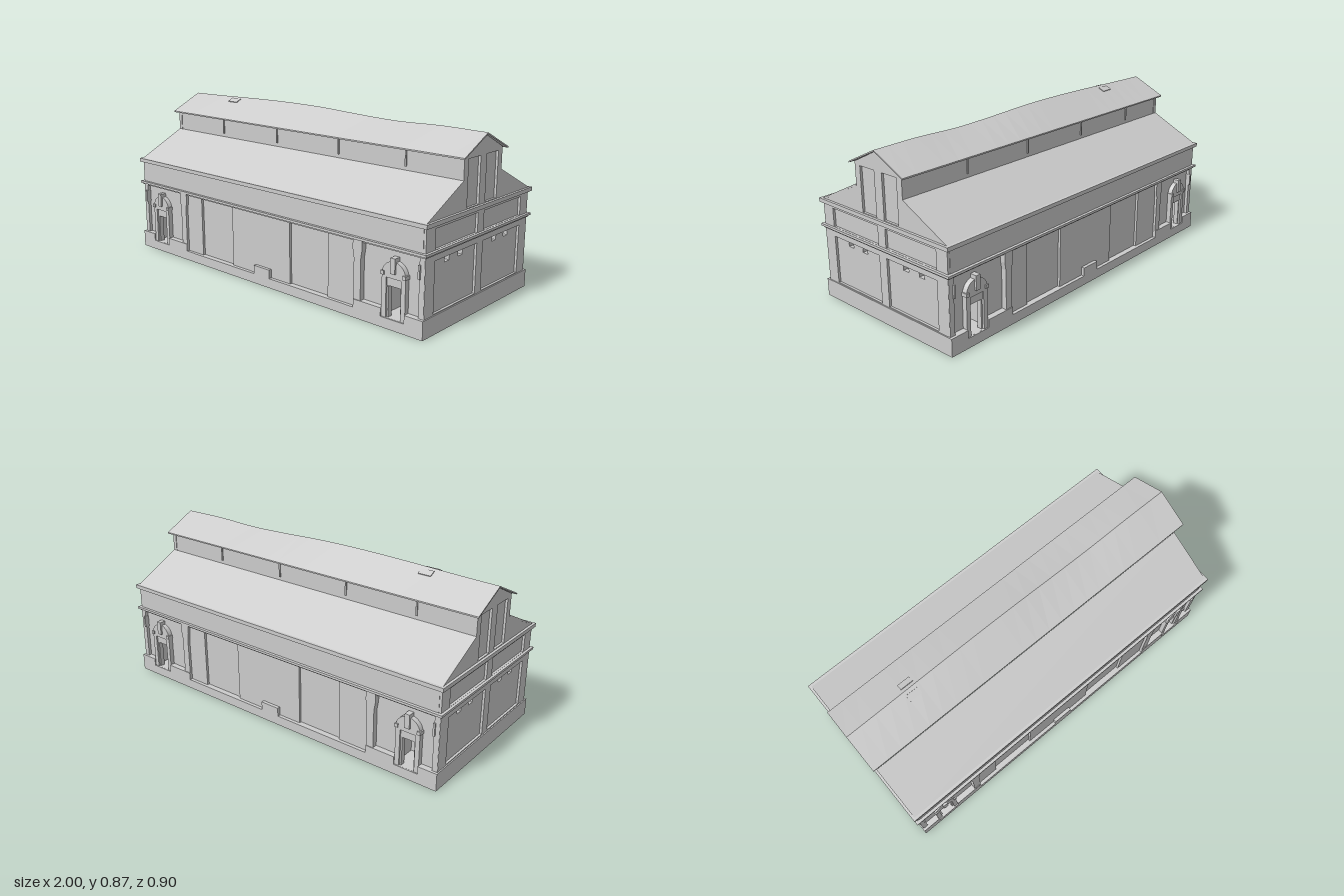
import * as THREE from 'three';

const mat = new THREE.MeshStandardMaterial({ color: 0xcccccc, flatShading: true, side: THREE.DoubleSide });

function add(parent, name, geometry) {
  const m = new THREE.Mesh(geometry, mat);
  m.name = name;
  parent.add(m);
  return m;
}

// Box given by its min and max on every axis
function block(parent, name, x0, x1, y0, y1, z0, z1) {
  const m = add(parent, name, new THREE.BoxGeometry(x1 - x0, y1 - y0, z1 - z0));
  m.position.set((x0 + x1) / 2, (y0 + y1) / 2, (z0 + z1) / 2);
  return m;
}

const poly = (pts) => new THREE.Shape(pts.map(([x, y]) => new THREE.Vector2(x, y)));
const rect = (x0, x1, y0, y1) => poly([[x0, y0], [x1, y0], [x1, y1], [x0, y1]]);

// Upright sheet with rectangular openings, between two depths
function sheet(parent, name, shape, holes, z0, z1) {
  holes.forEach((h) => shape.holes.push(h));
  const m = add(parent, name, new THREE.ExtrudeGeometry(shape, { depth: z1 - z0, bevelEnabled: false, curveSegments: 10 }));
  m.position.z = z0;
  return m;
}

// Rectangular course running round the whole building
function course(parent, name, hx, hz, y0, y1, inX, inZ) {
  const s = rect(-hx, hx, -hz, hz);
  s.holes.push(rect(-inX, inX, -inZ, inZ));
  const g = new THREE.ExtrudeGeometry(s, { depth: y1 - y0, bevelEnabled: false });
  g.rotateX(-Math.PI / 2);
  add(parent, name, g).position.y = y0;
}

// Arched doorway with vestibule behind it
function doorway(parent, cx) {
  const g = new THREE.Group();
  g.name = 'doorway';
  g.position.x = cx;
  parent.add(g);
  const arch = poly([[-0.065, 0.05], [0.065, 0.05], [0.065, 0.255]]);
  arch.absarc(0, 0.255, 0.065, 0, Math.PI, false);
  arch.lineTo(-0.065, 0.05);
  sheet(g, 'archSurround', arch, [rect(-0.041, 0.041, 0.0505, 0.24)], 0.412, 0.44);
  block(g, 'keystone', -0.013, 0.013, 0.265, 0.338, 0.415, 0.45);
  for (const s of [-1, 1]) {
    block(g, 'impost', s * 0.06 - 0.009, s * 0.06 + 0.009, 0.25, 0.268, 0.415, 0.446);
    block(g, 'doorJamb', s * 0.037 - 0.004, s * 0.037 + 0.004, 0.05, 0.2, 0.405, 0.43);
    block(g, 'vestibuleSide', s * 0.07 - 0.003, s * 0.07 + 0.003, 0.05, 0.24, 0.29, 0.41);
  }
  block(g, 'transom', -0.041, 0.041, 0.2, 0.24, 0.405, 0.432);
  block(g, 'vestibuleFloor', -0.073, 0.073, 0.043, 0.05, 0.29, 0.41);
  block(g, 'vestibuleBack', -0.073, 0.073, 0.05, 0.24, 0.287, 0.293);
}

// One long side, built facing +z
function longSide() {
  const g = new THREE.Group();
  g.name = 'longSide';
  const doors = [-0.825, 0.825];
  sheet(g, 'backWall', rect(-0.975, 0.975, 0.04, 0.39),
    doors.map((x) => rect(x - 0.041, x + 0.041, 0.05, 0.24)), 0.405, 0.415);
  sheet(g, 'centreBays', rect(-0.6, 0.6, 0.045, 0.375),
    [rect(-0.48, -0.235, 0.05, 0.37), rect(0.18, 0.43, 0.05, 0.37)], 0.415, 0.428);
  block(g, 'step', -0.06, 0.05, 0.05, 0.095, 0.42, 0.446);
  doors.forEach((x) => doorway(g, x));
  for (const s of [-1, 1]) {
    const span = (name, a, b, ...r) => block(g, name, Math.min(s * a, s * b), Math.max(s * a, s * b), ...r);
    span('plinthInner', 0.6, 0.76, 0.05, 0.09, 0.41, 0.446);
    span('plinthOuter', 0.89, 0.98, 0.05, 0.09, 0.41, 0.446);
    span('cornerPier', 0.955, 0.983, 0.09, 0.375, 0.40, 0.432);
    span('pierBracket', 0.952, 0.962, 0.27, 0.335, 0.41, 0.44);
    // Pilaster with a flared capital
    const p = poly([[-0.02, 0.05], [0.02, 0.05], [0.02, 0.29], [0.027, 0.33], [0.027, 0.375],
      [-0.027, 0.375], [-0.027, 0.33], [-0.02, 0.29]]);
    sheet(g, 'pilaster', p, [], 0.41, 0.442).position.x = s * 0.62;
  }
  // Lower roof slope and monitor wall
  const slope = poly([[0.437, 0.518], [0.16, 0.657], [0.16, 0.648], [0.437, 0.509]]);
  const roof = sheet(g, 'lowerRoof', slope, [], 0, 1.97);
  roof.rotation.y = -Math.PI / 2;
  roof.position.set(0.985, 0, 0);
  block(g, 'monitorWall', -0.975, 0.975, 0.65, 0.772, 0.15, 0.157);
  for (const x of [-0.59, -0.17, 0.26, 0.67]) block(g, 'monitorPost', x - 0.004, x + 0.004, 0.675, 0.768, 0.155, 0.163);
  return g;
}

// One gable end, built facing +z and turned into place
function gableEnd() {
  const g = new THREE.Group();
  g.name = 'gableEnd';
  const outline = () => poly([[-0.43, 0.04], [0.43, 0.04], [0.43, 0.515], [0.16, 0.65], [0.16, 0.765],
    [0, 0.845], [-0.16, 0.765], [-0.16, 0.65], [-0.43, 0.515]]);
  const vents = () => [-0.25, -0.145, 0.145, 0.25].map((z) => rect(z - 0.0175, z + 0.0175, 0.31, 0.339));
  sheet(g, 'innerWall', outline(), vents(), 0.962, 0.972);
  const panels = [];
  for (const s of [-1, 1]) {
    const hole = (a, b, y0, y1) => panels.push(rect(Math.min(s * a, s * b), Math.max(s * a, s * b), y0, y1));
    hole(0.026, 0.36, 0.095, 0.34);
    hole(0.026, 0.36, 0.39, 0.485);
    hole(0.026, 0.125, 0.525, 0.75);
  }
  sheet(g, 'pierFrame', outline(), panels, 0.972, 0.984);
  for (const z of [-0.25, -0.145, 0.145, 0.25]) {
    sheet(g, 'ventBox', rect(z - 0.02, z + 0.02, 0.308, 0.342), [rect(z - 0.0175, z + 0.0175, 0.31, 0.339)], 0.94, 0.972);
  }
  block(g, 'endPlinth', -0.446, 0.446, 0.05, 0.09, 0.965, 0.99);
  return g;
}

export function createModel() {
  const model = new THREE.Group();
  model.name = 'trainShed';

  for (let i = 0; i < 2; i++) {
    const side = longSide();
    side.rotation.y = i * Math.PI;
    const end = gableEnd();
    end.rotation.y = Math.PI / 2 + i * Math.PI;
    model.add(side, end);
  }

  // Courses round the building
  course(model, 'base', 0.99, 0.446, 0, 0.05, 0.965, 0.41);
  course(model, 'lowerBand', 0.988, 0.436, 0.368, 0.378, 0.965, 0.405);
  course(model, 'lowerCornice', 0.997, 0.447, 0.377, 0.389, 0.965, 0.41);
  course(model, 'upperWall', 0.972, 0.432, 0.385, 0.505, 0.962, 0.42);
  course(model, 'upperCornice', 0.997, 0.446, 0.501, 0.521, 0.965, 0.42);

  // Monitor roof with a gently sagging ridge
  const ridge = new THREE.SplineCurve([0.852, 0.857, 0.864, 0.868, 0.866, 0.855, 0.848, 0.855, 0.852]
    .map((y, i) => new THREE.Vector2(-1 + i * 0.25, y)));
  const g = new THREE.BoxGeometry(2, 0.007, 0.368, 24, 1, 2);
  const p = g.attributes.position;
  for (let i = 0; i < p.count; i++) {
    const top = ridge.getPoint((p.getX(i) + 1) / 2).y;
    const k = 1 - Math.abs(p.getZ(i)) / 0.184;
    p.setY(i, p.getY(i) - 0.0035 + 0.763 + (top - 0.763) * k);
  }
  g.computeVertexNormals();
  add(model, 'monitorRoof', g);

  // Lifted roofing patches beside the ridge
  for (const s of [-1, 1]) {
    const patch = block(model, 'roofPatch', -0.67, -0.6, 0.843, 0.847, s * 0.035 - 0.018, s * 0.035 + 0.018);
    patch.rotation.x = s * 0.45;
  }
  return model;
}
